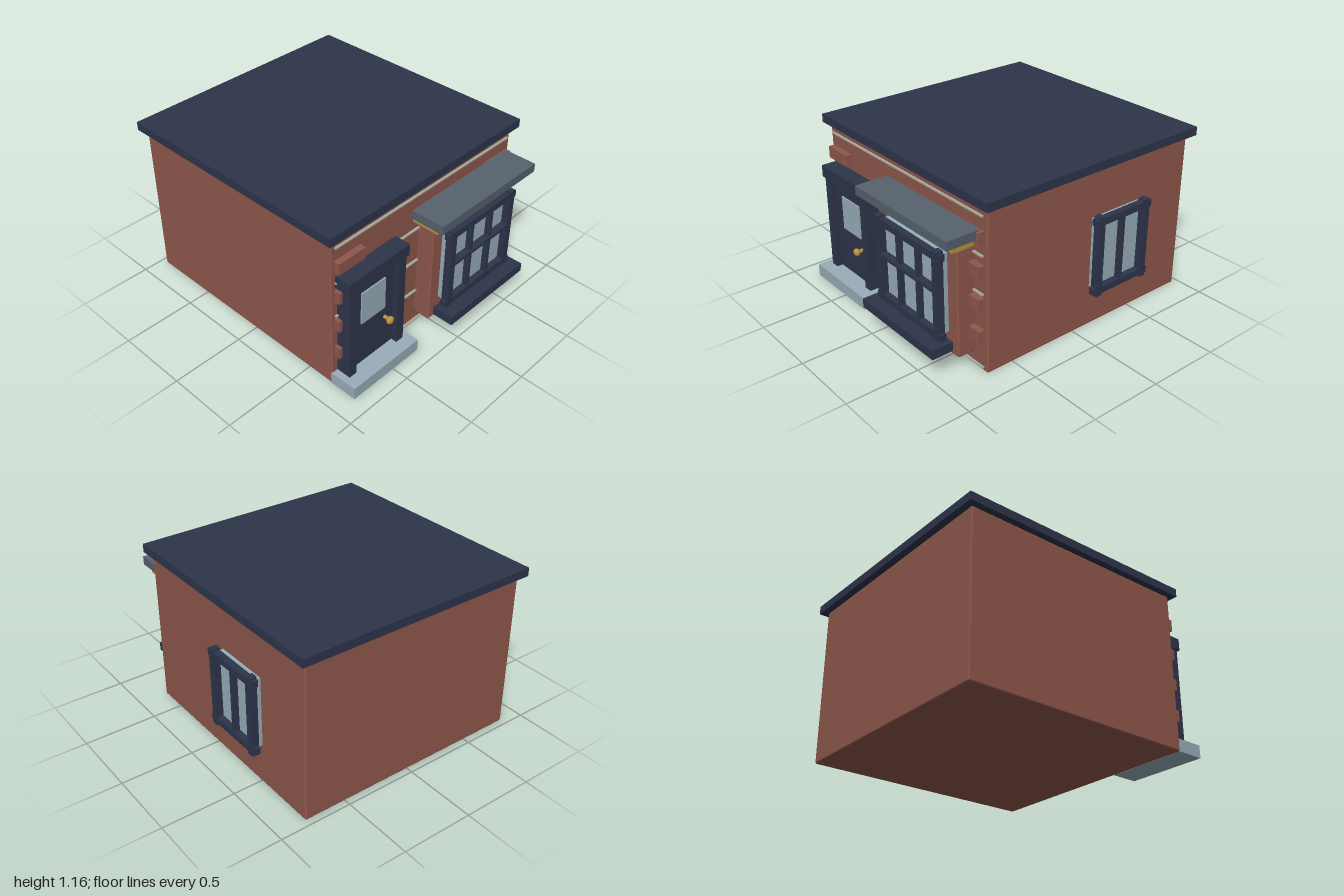
import * as THREE from 'three';
import { RoundedBoxGeometry } from 'three/addons/geometries/RoundedBoxGeometry.js';

const material = (name, color) => {
  const m = new THREE.MeshStandardMaterial({ color });
  m.name = name;
  return m;
};

export function createModel() {
  const brick = material('brick', 0x8e574b);
  const navy = material('navy paint', 0x2d354b);
  const glass = material('pale blue', 0x98adb9);
  const slate = material('slate', 0x56626d);
  const gold = material('gold', 0xb9933f);
  const mortar = material('mortar', 0xa9ac9e);

  const house = new THREE.Group();
  house.name = 'house';

  const add = (parent, name, geometry, mat, x = 0, y = 0, z = 0) => {
    const mesh = new THREE.Mesh(geometry, mat);
    mesh.name = name;
    mesh.position.set(x, y, z);
    parent.add(mesh);
    return mesh;
  };

  // Box given by its extents on each axis; a radius rounds its edges
  const block = (parent, name, mat, [x0, x1], [y0, y1], [z0, z1], radius = 0) => {
    const size = [x1 - x0, y1 - y0, z1 - z0];
    const geometry = radius
      ? new RoundedBoxGeometry(...size, 2, radius)
      : new THREE.BoxGeometry(...size);
    return add(parent, name, geometry, mat, (x0 + x1) / 2, (y0 + y1) / 2, (z0 + z1) / 2);
  };

  // Window facing +z: its origin is at the bottom centre of the wall face
  const makeWindow = (name, { half, y0, y1, depth, glassDepth, bars, crossBar }) => {
    const g = new THREE.Group();
    g.name = name;
    const post = 0.046;
    const front = glassDepth + depth;
    block(g, 'pane', glass, [-half + 0.02, half - 0.02], [y0 + 0.035, y1 - 0.035], [0, glassDepth + 0.002]);
    for (const s of [-1, 1]) {
      const x = s * (half - post / 2);
      block(g, 'framePost', navy, [x - post / 2, x + post / 2], [y0, y1], [glassDepth, front]);
    }
    for (const y of [y0 + 0.012, y1 - 0.06]) {
      block(g, 'frameRail', navy, [-half - 0.018, half + 0.018], [y, y + 0.046], [glassDepth + 0.003, front - 0.004]);
    }
    for (const x of bars) {
      block(g, 'glazingBar', navy, [x - 0.012, x + 0.012], [y0 + 0.05, y1 - 0.05], [glassDepth, front - 0.01]);
    }
    if (crossBar) {
      block(g, 'crossBar', navy, [-half + 0.04, half - 0.04], [crossBar - 0.011, crossBar + 0.011], [glassDepth, front + 0.003]);
    }
    house.add(g);
    return g;
  };

  // Walls and flat roof
  block(house, 'walls', brick, [-0.848, 0.796], [0, 1.108], [-0.957, 0.697], 0.012);
  block(house, 'roof', navy, [-0.89, 0.84], [1.105, 1.163], [-1, 0.735]);

  // Mortar lines across the front
  for (let i = 0; i < 5; i++) {
    const y = 0.028 + i * 0.2543;
    block(house, 'mortarLine', mortar, [-0.82, 0.763], [y - 0.005, y + 0.005], [0.69, 0.712]);
  }

  // Raised corner bricks
  for (let i = 0; i < 4; i++) {
    const y = 0.216 + i * 0.2187;
    block(house, 'cornerBrick', brick, [-0.825, -0.608], [y, y + 0.081], [0.69, 0.74]);
    block(house, 'cornerBrick', brick, [0.552, 0.768], [y, y + 0.081], [0.69, 0.74]);
  }

  // Bay with the shop window
  block(house, 'bay', brick, [-0.093, 0.673], [0.1, 0.826], [0.69, 0.82], 0.012);
  const shopWindow = makeWindow('shopWindow', {
    half: 0.314, y0: 0.21, y1: 0.818, depth: 0.05, glassDepth: 0.044,
    bars: [-0.097, 0.098], crossBar: 0.552,
  });
  shopWindow.position.set(0.2875, 0, 0.82);
  block(house, 'windowSill', navy, [-0.083, 0.658], [0.16, 0.222], [0.85, 1]);

  // Side window on the +x wall
  const sideWindow = makeWindow('sideWindow', {
    half: 0.219, y0: 0.257, y1: 0.813, depth: 0.052, glassDepth: 0.038, bars: [0],
  });
  sideWindow.rotation.y = Math.PI / 2;
  sideWindow.position.set(0.796, 0, -0.325);

  // Awning over the bay
  block(house, 'awning', slate, [-0.173, 0.746], [0.902, 0.962], [0.71, 0.945]);
  block(house, 'awningTrim', gold, [-0.145, 0.72], [0.858, 0.902], [0.69, 0.888]);

  // Doorway
  block(house, 'doorStep', glass, [-0.848, -0.27], [0, 0.086], [0.69, 0.886]);
  block(house, 'door', navy, [-0.75, -0.37], [0.086, 0.76], [0.69, 0.757]);
  block(house, 'doorPane', glass, [-0.663, -0.455], [0.409, 0.649], [0.757, 0.766]);
  for (const x of [-0.8, -0.378]) {
    block(house, 'doorPost', navy, [x, x + 0.061], [0.086, 0.76], [0.69, 0.8]);
  }
  block(house, 'doorLintel', navy, [-0.815, -0.303], [0.755, 0.838], [0.69, 0.811]);

  // Door knob on a short stem
  const stem = add(house, 'knobStem', new THREE.CylinderGeometry(0.013, 0.013, 0.05, 12), gold, -0.45, 0.326, 0.775);
  stem.rotation.x = Math.PI / 2;
  const knob = add(house, 'doorKnob', new THREE.SphereGeometry(0.028, 16, 12), gold, -0.45, 0.326, 0.805);
  knob.scale.z = 0.75;

  return house;
}
